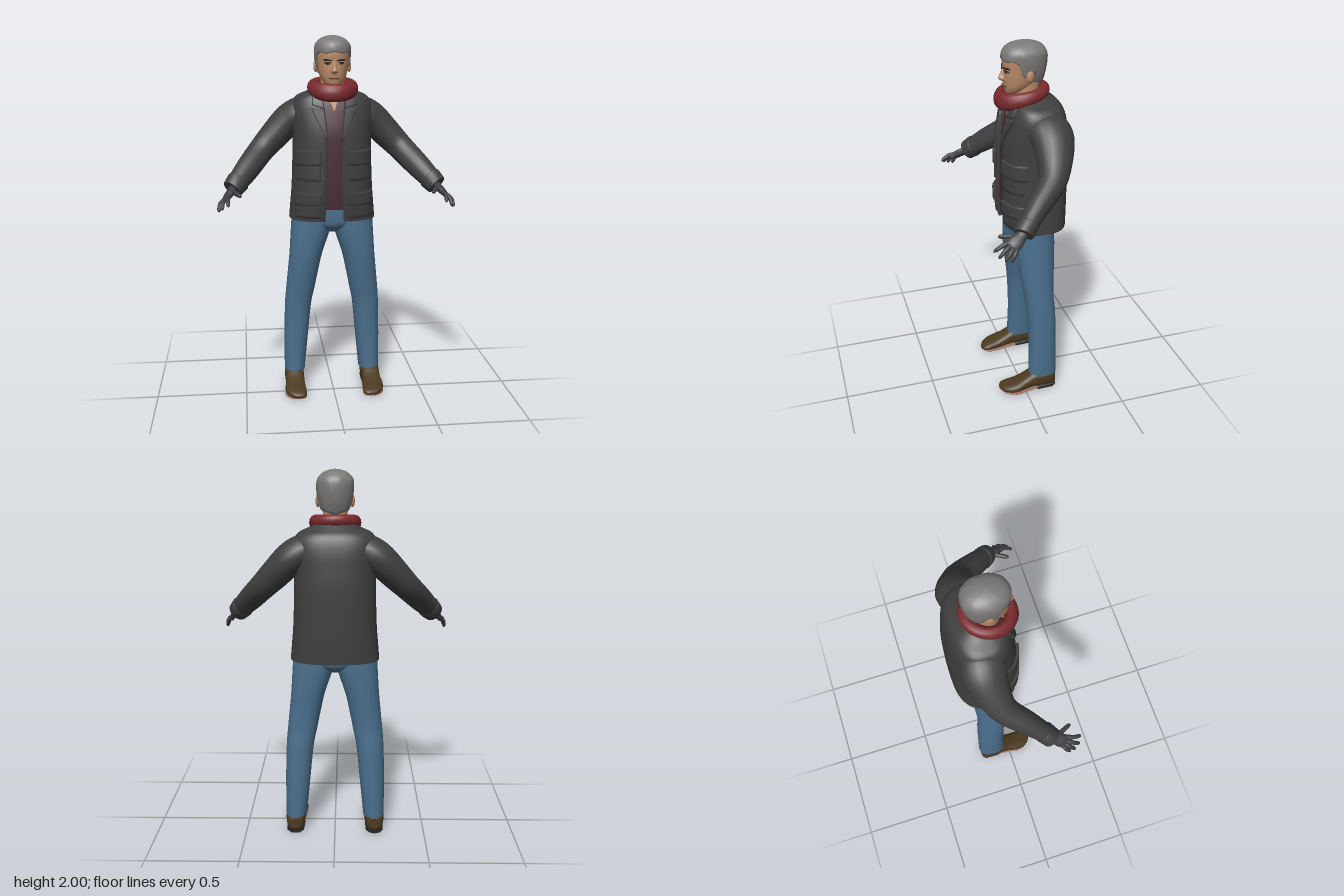
import * as THREE from 'three';
import { mergeVertices } from 'three/addons/utils/BufferGeometryUtils.js';

const V = (x, y, z) => new THREE.Vector3(x, y, z);
const mat = (name, color, side = THREE.FrontSide) => Object.assign(new THREE.MeshStandardMaterial({ color, side }), { name });
const spow = (t, e) => Math.sign(t) * Math.pow(Math.abs(t), e);

// Smooth list of number rows (Catmull-Rom through each column)
function smooth(rows, k = 4) {
  const out = [], last = rows.length - 1;
  for (let i = 0; i < last; i++) {
    for (let s = 0; s < k; s++) {
      const t = s / k, a = rows[Math.max(i - 1, 0)], b = rows[i], c = rows[i + 1], d = rows[Math.min(i + 2, last)];
      out.push(b.map((_, j) => 0.5 * (2 * b[j] + (c[j] - a[j]) * t + (2 * a[j] - 5 * b[j] + 4 * c[j] - d[j]) * t * t
        + (3 * b[j] - a[j] - 3 * c[j] + d[j]) * t * t * t)));
    }
  }
  return [...out, rows[last]];
}

// Row of a smoothed list at height y
function at(rows, y) {
  let i = 0;
  while (i < rows.length - 2 && rows[i + 1][0] < y) i++;
  const a = rows[i], b = rows[i + 1];
  const t = THREE.MathUtils.clamp((y - a[0]) / (b[0] - a[0]), 0, 1);
  return a.map((v, j) => v + (b[j] - v) * t);
}

// Surface over rows of points; closed joins the row ends, capped fills both ends
function grid(rows, closed = true, capped = closed) {
  const pos = [], index = [], n = rows[0].length;
  rows.forEach(r => r.forEach(p => pos.push(p.x, p.y, p.z)));
  for (let i = 0; i < rows.length - 1; i++) {
    for (let j = 0; j < (closed ? n : n - 1); j++) {
      const k = (j + 1) % n, a = i * n + j, b = i * n + k;
      index.push(a, b, b + n, a, b + n, a + n);
    }
  }
  if (capped) [rows[0], rows[rows.length - 1]].forEach((r, top) => {
    const base = pos.length / 3, c = V(0, 0, 0);
    r.forEach(p => { pos.push(p.x, p.y, p.z); c.addScaledVector(p, 1 / n); });
    pos.push(c.x, c.y, c.z);
    for (let j = 0; j < n; j++) {
      const k = base + (j + 1) % n;
      if (top) index.push(base + j, k, base + n); else index.push(k, base + j, base + n);
    }
  });
  const g = new THREE.BufferGeometry();
  g.setAttribute('position', new THREE.Float32BufferAttribute(pos, 3));
  g.setIndex(index);
  g.computeVertexNormals();
  return g;
}

const ring = (c, u, v, n = 2, count = 28) => Array.from({ length: count }, (_, j) => {
  const a = j / count * Math.PI * 2;
  return c.clone().addScaledVector(u, spow(Math.sin(a), 2 / n)).addScaledVector(v, spow(Math.cos(a), 2 / n));
});

// Upright body: rows are [y, centre x, half width, front z, back z]
const stack = (rows, n = 2) => grid(rows.map(([y, cx, rx, zf, zb]) =>
  ring(V(cx, y, (zf + zb) / 2), V(rx, 0, 0), V(0, 0, (zf - zb) / 2), n)));

// Limb along a path: rows are [x, y, z, radius along hint, other radius]
function limb(rows, hint = V(0, 0, 1), count = 20) {
  const c = rows.map(r => V(r[0], r[1], r[2]));
  return grid(rows.map((r, i) => {
    const d = c[Math.min(i + 1, c.length - 1)].clone().sub(c[Math.max(i - 1, 0)]).normalize();
    const u = hint.clone().addScaledVector(d, -hint.dot(d)).normalize();
    const v = u.clone().cross(d);
    return ring(c[i], u.multiplyScalar(r[3]), v.multiplyScalar(r[4]), 2, count);
  }));
}

// Front surface z of an upright body
function frontZ(rows, n, x, y) {
  const [, cx, rx, zf, zb] = at(rows, y), t = Math.min(Math.abs((x - cx) / rx), 0.985);
  return (zf + zb) / 2 + (zf - zb) / 2 * Math.pow(1 - Math.pow(t, n), 1 / n);
}

// Raised patch on the front of a body; corners bottom-left, bottom-right, top-right, top-left
function panel(rows, n, corners, lift, N = 8) {
  const [bl, br, tr, tl] = corners, mix = THREE.MathUtils.lerp, out = [];
  for (let i = -1; i <= N + 1; i++) {
    const line = [], t = THREE.MathUtils.clamp(i / N, 0, 1);
    for (let j = -1; j <= N + 1; j++) {
      const s = THREE.MathUtils.clamp(j / N, 0, 1), edge = i < 0 || j < 0 || i > N || j > N;
      const x = mix(mix(bl[0], br[0], s), mix(tl[0], tr[0], s), t);
      const y = mix(mix(bl[1], br[1], s), mix(tl[1], tr[1], s), t);
      line.push(V(x, y, frontZ(rows, n, x, y) + (edge ? -0.004 : lift)));
    }
    out.push(line);
  }
  return grid(out, false);
}

export function createModel() {
  const model = new THREE.Group();
  model.name = 'standingMan';
  const M = {
    coat: mat('charcoalCoat', 0x3f3f3f, THREE.DoubleSide), shirt: mat('maroonShirt', 0x472a35),
    scarf: mat('redScarf', 0x7a2a2d), jeans: mat('blueDenim', 0x4a6f8c), shoe: mat('brownLeather', 0x4b3a20),
    sole: mat('tanSole', 0x966a55), glove: mat('greyGlove', 0x404044), hair: mat('greyHair', 0x7c7a78, THREE.DoubleSide),
    skin: mat('skin', 0xb98a68), dark: mat('darkDetail', 0x2a2422),
  };
  const add = (name, g, m) => {
    const mesh = new THREE.Mesh(g, m);
    mesh.name = name;
    model.add(mesh);
  };
  const pair = (name, g, m) => {
    add(name + 'Left', g, m);
    const r = g.clone().scale(-1, 1, 1), ix = r.index.array;
    for (let i = 0; i < ix.length; i += 3) [ix[i], ix[i + 1]] = [ix[i + 1], ix[i]];
    r.computeVertexNormals();
    add(name + 'Right', r, m);
  };

  // Open coat with a front gap and folded-in edges
  const CN = 2.6;
  const coat = smooth([[1.01, 0, .238, .068, -.27], [1.1, 0, .23, .077, -.274], [1.2, 0, .222, .08, -.277], [1.4, 0, .215, .076, -.28],
    [1.5, 0, .216, .07, -.275], [1.58, 0, .222, .055, -.268], [1.64, 0, .217, .04, -.255], [1.68, 0, .19, .025, -.235],
    [1.705, 0, .135, .012, -.205], [1.725, 0, .105, 0, -.18]]);
  const gap = smooth([[1.01, .052], [1.2, .042], [1.45, .037], [1.6, .05], [1.73, .065]]);
  add('coat', grid(coat.map(([y, , rx, zf, zb]) => {
    const t0 = Math.asin(Math.pow(at(gap, y)[1] / rx, CN / 2)), line = [];
    for (let j = 0; j <= 56; j++) {
      const a = t0 + (2 * Math.PI - 2 * t0) * j / 56;
      line.push(V(rx * spow(Math.sin(a), 2 / CN), y, (zf + zb) / 2 + (zf - zb) / 2 * spow(Math.cos(a), 2 / CN)));
    }
    const fold = p => p.clone().add(V(0, 0, -.025));
    return [fold(line[0]), ...line, fold(line[56])];
  }), false), M.coat);

  // Pockets, flaps, collar and lapels
  const box = (x0, x1, y0, y1) => [[x0, y0], [x1, y0], [x1, y1], [x0, y1]];
  pair('chestPocket', panel(coat, CN, box(.075, .203, 1.235, 1.37), .008), M.coat);
  pair('chestPocketFlap', panel(coat, CN, [[.068, 1.325], [.207, 1.315], [.205, 1.4], [.07, 1.4]], .017), M.coat);
  pair('hipPocket', panel(coat, CN, box(.075, .212, 1.03, 1.15), .009), M.coat);
  pair('hipPocketFlap', panel(coat, CN, [[.068, 1.105], [.216, 1.1], [.212, 1.17], [.07, 1.17]], .018), M.coat);
  pair('lapel', panel(coat, CN, [[.038, 1.45], [.05, 1.47], [.125, 1.625], [.054, 1.62]], .012), M.coat);
  pair('collar', panel(coat, CN, [[.054, 1.62], [.118, 1.64], [.115, 1.69], [.064, 1.7]], .014), M.coat);

  // Shirt and open neck
  const shirt = coat.filter(r => r[0] > 1.05 && r[0] < 1.69).map(([y, cx, rx, zf, zb]) => [y, cx, rx - .02, zf - .014, zb + .02]);
  add('shirt', stack(shirt, CN), M.shirt);
  add('openNeck', panel(shirt, CN, [[-.003, 1.605], [.003, 1.605], [.024, 1.665], [-.024, 1.665]], .004), M.skin);

  // Sleeves and cuffs
  pair('sleeve', limb(smooth([[.13, 1.605, -.125, .105, .075], [.18, 1.585, -.13, .112, .084], [.235, 1.545, -.138, .11, .086],
    [.31, 1.468, -.122, .092, .08], [.385, 1.39, -.085, .072, .071], [.46, 1.308, .012, .06, .066],
    [.52, 1.242, .088, .05, .056], [.542, 1.217, .112, .048, .052]])), M.coat);
  pair('cuff', limb([[.512, 1.25, .08, .05, .057], [.515, 1.247, .083, .056, .063], [.545, 1.214, .115, .052, .056],
    [.547, 1.212, .117, .042, .046]]), M.coat);

  // Gloved hands
  const across = V(.5, -.45, -.72).normalize();
  pair('palm', limb(smooth([[.535, 1.225, .1, .03, .026], [.552, 1.205, .13, .03, .021], [.566, 1.19, .156, .038, .019],
    [.58, 1.174, .181, .034, .014], [.586, 1.167, .19, .024, .007]]), across, 16), M.glove);
  [[[.555, 1.192, .182], [.565, 1.15, .27]], [[.571, 1.182, .182], [.597, 1.13, .254]],
    [[.583, 1.172, .175], [.614, 1.115, .225]], [[.588, 1.163, .16], [.616, 1.108, .196]],
    [[.547, 1.205, .137], [.502, 1.195, .23]]].forEach(([a, b], i) => {
    const r = i === 4 ? .013 : .0115;
    const rows = [[0, 1.05], [.45, 1], [.85, .85], [.96, .55], [1, .1]].map(([t, s]) => {
      const bow = (i === 4 ? 0 : .01) * Math.sin(t * Math.PI);
      return [a[0] + (b[0] - a[0]) * t + bow, a[1] + (b[1] - a[1]) * t + bow, a[2] + (b[2] - a[2]) * t, r * s, r * s];
    });
    pair(i === 4 ? 'thumb' : 'finger' + (i + 1), limb(smooth(rows, 2), across, 10), M.glove);
  });

  // Jeans
  pair('trouserLeg', stack(smooth([[.1, .217, .058, -.028, -.19], [.3, .207, .068, -.033, -.188], [.5, .194, .075, -.024, -.184],
    [.6, .18, .081, -.012, -.176], [.7, .165, .086, .002, -.178], [.8, .149, .092, .014, -.185], [.92, .125, .108, .02, -.19],
    [.98, .115, .114, .02, -.19], [1.07, .11, .112, .02, -.19]]), 2.2), M.jeans);
  add('trouserSeat', stack(smooth([[.935, 0, .04, -.02, -.15], [.965, 0, .12, .008, -.18], [1, 0, .2, .02, -.19],
    [1.09, 0, .215, .022, -.192]]), 2.4), M.jeans);

  // Shoes: rows run heel to toe as [z, centre x, half width, bottom y, top y]
  const along = rows => grid(rows.map(([z, cx, w, yb, yt]) =>
    ring(V(cx, (yb + yt) / 2, z), V(w, 0, 0), V(0, -(yt - yb) / 2, 0), 2.6)));
  pair('shoe', along(smooth([[-.182, .222, .024, .03, .09], [-.168, .222, .045, .022, .112], [-.11, .222, .054, .02, .125],
    [-.05, .22, .053, .02, .118], [0, .22, .053, .014, .09], [.05, .222, .058, .009, .068], [.095, .216, .055, .009, .055],
    [.128, .206, .041, .012, .043], [.144, .199, .016, .018, .032]])), M.shoe);
  pair('shoeSole', along(smooth([[-.09, .221, .048, .012, .024], [-.03, .22, .05, .007, .022], [.05, .222, .058, 0, .018],
    [.095, .216, .054, .001, .018], [.13, .206, .036, .007, .02]])), M.sole);
  pair('shoeHeel', along([[-.178, .222, .032, 0, .036], [-.16, .222, .048, 0, .036], [-.07, .221, .05, 0, .034]]), M.dark);

  // Neck and head
  const HN = 2.15;
  add('neck', stack([[1.62, 0, .07, .01, -.14], [1.7, 0, .064, .005, -.135], [1.8, 0, .064, 0, -.135]]), M.skin);
  const head = smooth([[1.735, 0, .026, .038, -.02], [1.75, 0, .047, .044, -.06], [1.78, 0, .067, .05, -.105], [1.82, 0, .079, .054, -.145],
    [1.86, 0, .086, .053, -.155], [1.9, 0, .089, .056, -.162], [1.94, 0, .085, .05, -.16], [1.975, 0, .06, .02, -.13], [1.988, 0, .01, -.045, -.06]]);
  add('head', stack(head, HN), M.skin);
  add('nose', stack(smooth([[1.8, 0, .008, .057, .02], [1.807, 0, .017, .071, .02], [1.818, 0, .018, .08, .02],
    [1.835, 0, .012, .071, .02], [1.868, 0, .009, .056, .02]]), 2), M.skin);
  const ear = new THREE.SphereGeometry(1, 14, 10).scale(.012, .033, .021).rotateX(-.15).translate(.09, 1.838, -.062);
  pair('ear', ear, M.skin);

  // Face details
  const face = (name, c, lift, m) => pair(name, panel(head, HN, c, lift, 4), m);
  face('eye', [[.024, 1.849], [.047, 1.849], [.051, 1.858], [.022, 1.858]], .002, M.hair);
  face('iris', box(.031, .041, 1.849, 1.859), .004, M.dark);
  face('eyelid', [[.019, 1.857], [.053, 1.856], [.05, 1.862], [.021, 1.862]], .005, M.dark);
  face('brow', [[.014, 1.867], [.058, 1.87], [.054, 1.879], [.014, 1.874]], .006, M.dark);
  add('lips', panel(head, HN, [[-.02, 1.77], [.02, 1.77], [.028, 1.781], [-.028, 1.781]], .005, 6), M.sole);
  add('mouthLine', panel(head, HN, box(-.028, .028, 1.777, 1.7795), .007, 6), M.dark);

  // Hair cap with a hairline that drops at the sideburns and nape
  const hair = smooth([[1.765, 0, .076, .04, -.142], [1.82, 0, .089, .052, -.163], [1.86, 0, .095, .057, -.172], [1.91, 0, .098, .063, -.177],
    [1.95, 0, .094, .057, -.172], [1.98, 0, .068, .03, -.145], [1.995, 0, .035, -.015, -.103], [2, 0, .003, -.055, -.06]]);
  const hairline = [[0, 1.915], [.5, 1.905], [.85, 1.915], [1.15, 1.9], [1.32, 1.835], [1.55, 1.83], [1.75, 1.865], [2.05, 1.8], [3.15, 1.772]];
  const hairRows = [];
  for (let i = -1; i <= 20; i++) {
    const line = [];
    for (let j = 0; j < 64; j++) {
      const a = j / 64 * Math.PI * 2, lo = at(hairline, Math.min(a, 2 * Math.PI - a))[1];
      const y = lo + (2 - lo) * Math.sin(Math.max(i, 0) / 20 * Math.PI / 2);
      const [, , rx, zf, zb] = at(hair, y), k = i < 0 ? .86 : 1 + .008 * Math.sin(a * 9 + y * 40);
      line.push(V(rx * k * spow(Math.sin(a), 2 / HN), y, (zf + zb) / 2 + k * (zf - zb) / 2 * spow(Math.cos(a), 2 / HN)));
    }
    hairRows.push(line);
  }
  add('hair', grid(hairRows, true, false), M.hair);

  // Scarf: a ring tilted down and thicker at the front
  let scarf = new THREE.TorusGeometry(.106, .031, 14, 48).rotateX(Math.PI / 2);
  const p = scarf.attributes.position;
  for (let i = 0; i < p.count; i++) {
    const y = p.getY(i), z = p.getZ(i);
    p.setXYZ(i, p.getX(i), y * (1.3 + z * 1.7) + 1.724 - z * .19, z * 1.06 - .045);
  }
  scarf.deleteAttribute('uv');
  scarf.deleteAttribute('normal');
  scarf = mergeVertices(scarf);
  scarf.computeVertexNormals();
  add('scarf', scarf, M.scarf);

  return model;
}
